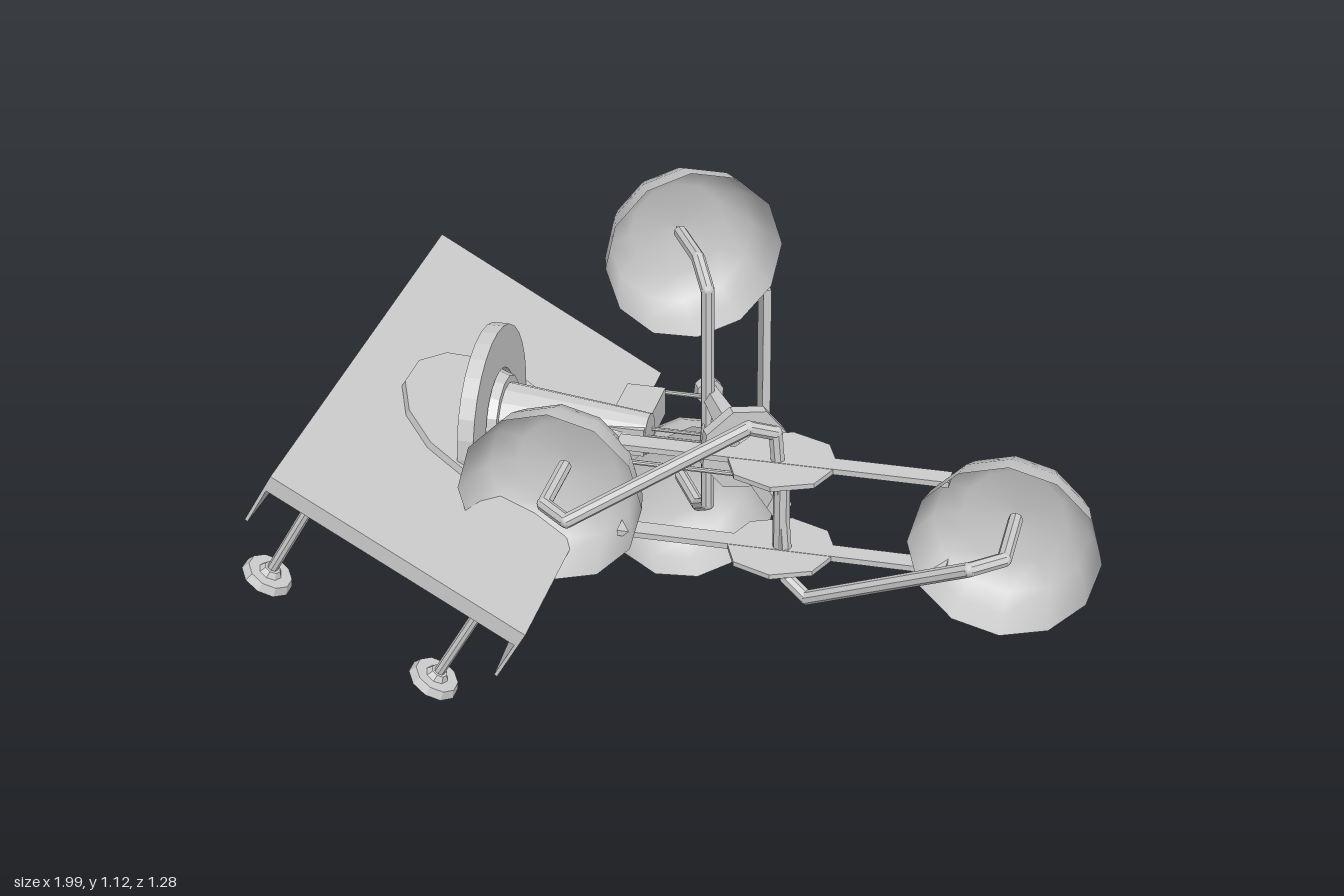
import * as THREE from 'three';

const V = (x, y, z) => new THREE.Vector3(x, y, z);
const mat = new THREE.MeshStandardMaterial({ color: 0xcccccc, flatShading: true, side: THREE.DoubleSide });
const smooth = new THREE.MeshStandardMaterial({ color: 0xcccccc, side: THREE.DoubleSide });

function add(parent, name, geo, pos = V(0, 0, 0), material = mat) {
  const m = new THREE.Mesh(geo, material);
  m.name = name;
  m.position.copy(pos);
  parent.add(m);
  return m;
}

// Tapered cylinder running from point a to point b
function strut(parent, name, a, b, ra, rb = ra, sides = 8) {
  const d = b.clone().sub(a);
  const m = add(parent, name, new THREE.CylinderGeometry(rb, ra, d.length(), sides), a.clone().add(b).multiplyScalar(0.5));
  m.quaternion.setFromUnitVectors(V(0, 1, 0), d.normalize());
  return m;
}

// Bent rod: struts with round joints
function rod(parent, name, points, r = 0.017) {
  const g = new THREE.Group();
  g.name = name;
  for (let i = 1; i < points.length; i++) {
    strut(g, name + 'Segment', points[i - 1], points[i], r);
    if (i < points.length - 1) add(g, name + 'Joint', new THREE.SphereGeometry(r, 8, 6), points[i], smooth);
  }
  parent.add(g);
}

// Open faceted bowl, rim centre at c, opening toward dir
function bowl(parent, name, c, dir) {
  const profile = [[0.001, 0], [0.12, 0.008], [0.18, 0.045], [0.205, 0.105], [0.219, 0.17]];
  const geo = new THREE.LatheGeometry(profile.map(p => new THREE.Vector2(...p)), 12);
  const d = dir.clone().normalize();
  const m = add(parent, name, geo, c.clone().addScaledVector(d, -0.17), smooth);
  m.quaternion.setFromUnitVectors(V(0, 1, 0), d);
}

// Tilted table with folded side skirts, legs and feet
function makeTable() {
  const g = new THREE.Group();
  g.name = 'table';
  g.position.set(-0.55, 0.547, 0);
  g.rotation.z = -Math.PI / 6;
  add(g, 'tableTop', new THREE.BoxGeometry(0.67, 0.04, 1.28), V(0, -0.02, 0));
  add(g, 'tableDisc', new THREE.CylinderGeometry(0.24, 0.24, 0.02, 14), V(0.03, 0.008, 0));
  const skirt = new THREE.Shape([[-0.64, 0], [0.64, 0], [0.64, -0.14], [0.35, -0.22], [-0.35, -0.22], [-0.64, -0.14]]
    .map(p => new THREE.Vector2(...p)));
  for (const s of [-1, 1]) {
    const m = add(g, 'skirt', new THREE.ExtrudeGeometry(skirt, { depth: 0.008, bevelEnabled: false }), V(s * 0.331 - 0.004, 0, 0));
    m.rotation.y = Math.PI / 2;
    for (const z of [-0.45, 0.45]) {
      const x = s * 0.23;
      strut(g, 'leg', V(x, -0.38, z), V(x, -0.02, z), 0.013);
      add(g, 'foot', new THREE.CylinderGeometry(0.055, 0.064, 0.02, 10), V(x, -0.384, z));
      add(g, 'footCollar', new THREE.CylinderGeometry(0.02, 0.03, 0.015, 8), V(x, -0.368, z));
    }
  }
  return g;
}

// Upright ring with the tapered motor barrel and its control rods
function makeMotor() {
  const g = new THREE.Group();
  g.name = 'motor';
  const ring = new THREE.Shape().absarc(0, 0, 0.225, 0, Math.PI * 2);
  ring.holes.push(new THREE.Path().absarc(0, 0, 0.12, 0, Math.PI * 2));
  const m = add(g, 'mountRing', new THREE.ExtrudeGeometry(ring, { depth: 0.04, bevelEnabled: false, curveSegments: 14 }), V(-0.54, 0.565, 0));
  m.rotation.y = Math.PI / 2;
  strut(g, 'barrelFlange', V(-0.53, 0.565, 0), V(-0.48, 0.565, 0), 0.121, 0.105, 14);
  strut(g, 'barrel', V(-0.5, 0.565, 0), V(-0.13, 0.565, 0), 0.09, 0.05, 14);
  add(g, 'controlBox', new THREE.BoxGeometry(0.095, 0.07, 0.22), V(-0.18, 0.565, -0.06));
  for (const z of [-0.025, 0.015]) strut(g, 'thinRod', V(-0.14, 0.565, z), V(0.03, 0.565, z), 0.005);
  strut(g, 'sideTube', V(-0.49, 0.565, 0.14), V(-0.21, 0.565, 0.14), 0.018, 0.015);
  strut(g, 'sideRod', V(-0.21, 0.565, 0.14), V(0.14, 0.565, 0.14), 0.006);
  strut(g, 'rearRod', V(-0.19, 0.565, -0.21), V(-0.02, 0.565, -0.21), 0.006);
  add(g, 'blade', new THREE.SphereGeometry(1, 8, 6), V(0, 0.565, 0)).scale.set(0.006, 0.045, 0.02);
  return g;
}

// Level pair of bowls on a double beam with hub plates
function makeFrontPair() {
  const g = new THREE.Group();
  g.name = 'frontPair';
  g.position.set(0.245, 0.568, 0);
  for (const s of [-1, 1]) {
    bowl(g, 'frontBowl', V(s * 0.525, 0, 0.352), V(0, 0, 1));
    add(g, 'beam', new THREE.BoxGeometry(0.77, 0.014, 0.05), V(0, s * 0.115, 0.255));
    add(g, 'hubPlate', new THREE.CylinderGeometry(0.13, 0.13, 0.012, 8), V(0, s * 0.115, 0.26));
    rod(g, 'frontRod', [V(0.53, 0, 0.2), V(0.53, 0, 0.38), V(0.46, 0, 0.44),
      V(0.07, -0.215, 0.3), V(0.015, -0.19, 0.265), V(0, 0, 0.26)].map(p => V(p.x * s, p.y * s, p.z)));
  }
  strut(g, 'hubPin', V(0, -0.12, 0.26), V(0, 0.12, 0.26), 0.02);
  return g;
}

// Upright pair of bowls, turned toward the side
function makeRearPair() {
  const g = new THREE.Group();
  g.name = 'rearPair';
  const dir = V(0.47, 0, 0.88);
  for (const s of [-1, 1]) bowl(g, 'rearBowl', V(-0.085, 0.565 + s * 0.343, -0.275), dir);
  const arm = s => [V(-0.15, 0.565 + s * 0.343, -0.4), V(-0.075, 0.565 + s * 0.343, -0.27), V(-0.035, 0.565 + s * 0.295, -0.2)];
  rod(g, 'rearRod', [...arm(1), ...arm(-1).reverse()]);
  const post = add(g, 'rearPost', new THREE.BoxGeometry(0.02, 0.43, 0.05), V(0.06, 0.565, -0.41));
  post.rotation.y = Math.atan2(0.47, 0.88);
  return g;
}

// Tapered shaft with a faceted collar linking both pairs
function makeShaft() {
  const g = new THREE.Group();
  g.name = 'shaft';
  const y = 0.565;
  const rear = V(-0.035, y, -0.23), mid = V(0.1, y, 0.01), front = V(0.24, y, 0.26);
  const d = front.clone().sub(rear).normalize();
  strut(g, 'rearShaft', rear, mid, 0.024, 0.042, 6);
  strut(g, 'frontShaft', mid, front, 0.045, 0.03, 6);
  strut(g, 'collar', mid.clone().addScaledVector(d, -0.015), mid.clone().addScaledVector(d, 0.015), 0.108, 0.108, 8);
  strut(g, 'shaftCap', rear.clone().addScaledVector(d, -0.03), rear, 0.035, 0.035, 8);
  return g;
}

export function createModel() {
  const model = new THREE.Group();
  model.name = 'bowlMachine';
  model.add(makeTable(), makeMotor(), makeFrontPair(), makeRearPair(), makeShaft());
  return model;
}
